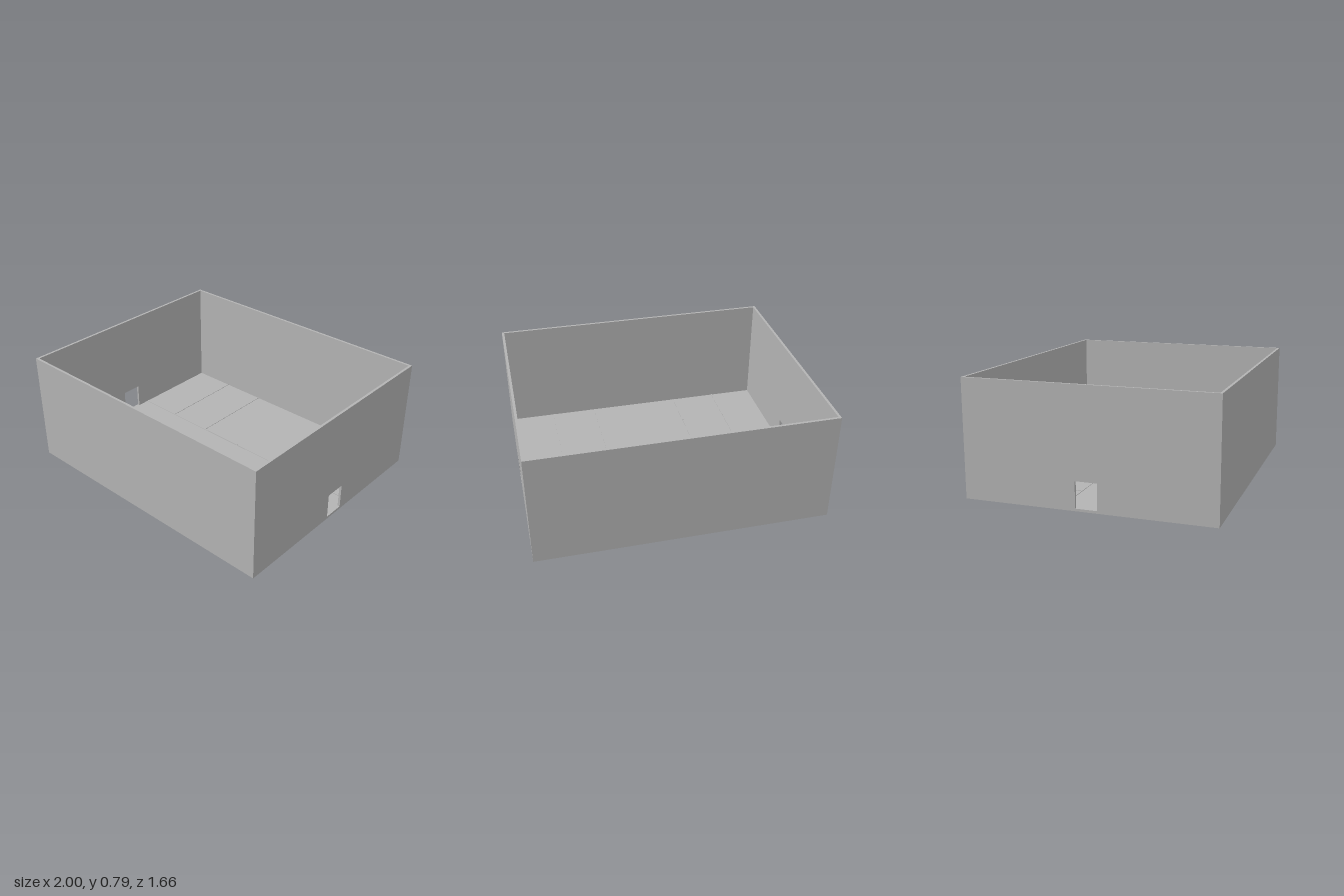
import * as THREE from 'three';

const W = 2, D = 1.664, H = 0.792, T = 0.017, FLOOR = 0.017;

export function createModel() {
  const group = new THREE.Group();
  const concrete = new THREE.MeshStandardMaterial({ color: 0xb3b3b3 });
  concrete.name = 'concreteGrey';

  function add(name, geometry, x, y, z) {
    const mesh = new THREE.Mesh(geometry, concrete);
    mesh.name = name;
    mesh.position.set(x, y, z);
    group.add(mesh);
    return mesh;
  }
  const box = (name, w, h, d, x, y, z) =>
    add(name, new THREE.BoxGeometry(w, h, d), x, y, z);

  // Floor slab, fitted inside the walls
  box('floor', W - 2 * T, FLOOR, D - 2 * T, 0, FLOOR / 2, 0);

  // Solid long walls, front and back
  for (const s of [1, -1]) {
    box(s > 0 ? 'frontWall' : 'backWall', W, H, T, 0, H / 2, s * (D - T) / 2);
  }

  // End walls, each with a doorway in the middle
  const half = D / 2 - T;
  const outline = new THREE.Shape([
    new THREE.Vector2(-half, 0), new THREE.Vector2(half, 0),
    new THREE.Vector2(half, H), new THREE.Vector2(-half, H),
  ]);
  outline.holes.push(new THREE.Path([
    new THREE.Vector2(-0.073, FLOOR), new THREE.Vector2(-0.073, 0.192),
    new THREE.Vector2(0.073, 0.192), new THREE.Vector2(0.073, FLOOR),
  ]));
  const endWall = new THREE.ExtrudeGeometry(outline, { depth: T, bevelEnabled: false });
  endWall.translate(0, 0, -T / 2).rotateY(Math.PI / 2);
  for (const s of [1, -1]) {
    add(s > 0 ? 'leftWall' : 'rightWall', endWall, s * (W - T) / 2, 0, 0);
  }

  // Low room dividers on the floor, split by a narrow joint at mid length
  const stripW = 0.008, stripH = 0.003, joint = 0.003;
  const y = FLOOR + stripH / 2;
  const longLen = W / 2 - T - joint / 2;
  const z0 = 0.167 + stripW / 2, z1 = D / 2 - T, zMid = (z0 + z1) / 2;
  const crossLen = zMid - z0 - joint / 2;
  for (const sz of [1, -1]) {
    for (const sx of [1, -1]) {
      box('corridorDivider', longLen, stripH, stripW,
        sx * (joint + longLen) / 2, y, sz * 0.167);
    }
    for (const x of [-0.667, -0.333, 0.333, 0.667]) {
      for (const side of [1, -1]) {
        box('roomDivider', stripW, stripH, crossLen,
          x, y, sz * (zMid + side * (joint + crossLen) / 2));
      }
    }
  }
  return group;
}
